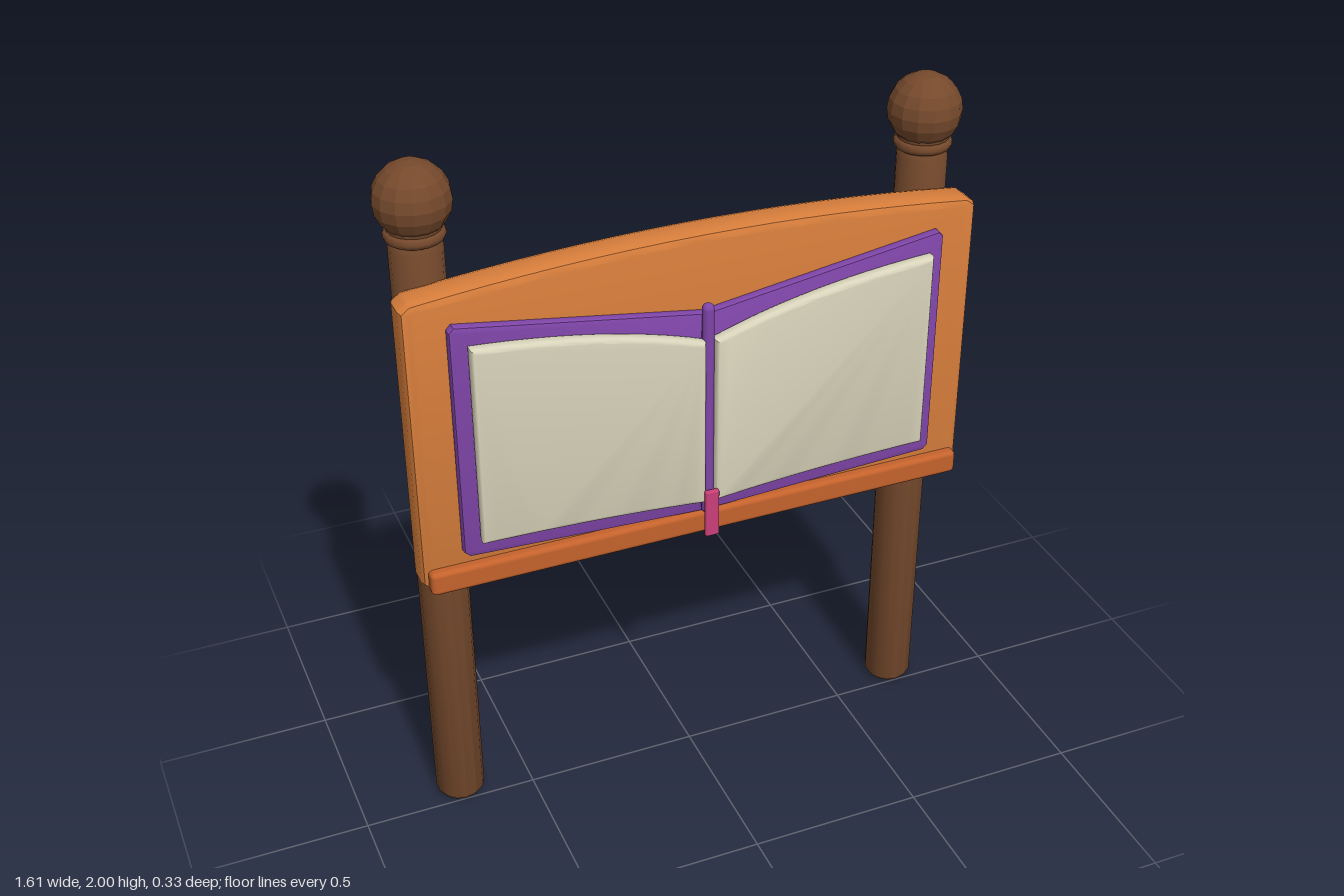
import * as THREE from 'three';
import { toCreasedNormals } from 'three/addons/utils/BufferGeometryUtils.js';
import { RoundedBoxGeometry } from 'three/addons/geometries/RoundedBoxGeometry.js';

function material(name, color) {
  const m = new THREE.MeshStandardMaterial({ color });
  m.name = name;
  return m;
}

// Extrude a shape between two z planes, with its bevel kept inside the outline
function slab(shape, z0, z1, bevel, segments, depthBevel = bevel) {
  const g = new THREE.ExtrudeGeometry(shape, {
    depth: z1 - z0 - 2 * depthBevel, curveSegments: 16,
    bevelEnabled: true, bevelSize: bevel, bevelOffset: -bevel,
    bevelThickness: depthBevel, bevelSegments: segments,
  });
  g.translate(0, 0, z0 + depthBevel);
  return toCreasedNormals(g, 0.6);
}

export function createModel() {
  const group = new THREE.Group();
  const darkWood = material('dark wood', 0x75492c);
  const boardWood = material('orange wood', 0xd67d3b);
  const ledgeWood = material('red orange wood', 0xc4622c);
  const purple = material('purple cover', 0x7f45a8);
  const cream = material('cream paper', 0xd9d4bb);
  const pink = material('pink ribbon', 0xc93f78);

  function add(name, geometry, mat, x = 0, y = 0, z = 0, parent = group) {
    const mesh = new THREE.Mesh(geometry, mat);
    mesh.name = name;
    mesh.position.set(x, y, z);
    parent.add(mesh);
    return mesh;
  }

  // Posts with a chamfered shaft, two collar rings and a faceted ball
  const shaft = toCreasedNormals(new THREE.LatheGeometry([
    [0, 0], [0.06, 0], [0.07, 0.015], [0.07, 1.775], [0.064, 1.79], [0, 1.79],
  ].map(([r, y]) => new THREE.Vector2(r, y)), 14), 0.6);
  const ball = new THREE.SphereGeometry(0.101, 14, 10);
  const ballWood = darkWood;
  for (const [side, name] of [[1, 'leftPost'], [-1, 'rightPost']]) {
    const post = new THREE.Group();
    post.name = name;
    post.position.set(side * 0.703, 0, -0.063);
    group.add(post);
    add('shaft', shaft, darkWood, 0, 0, 0, post);
    add('neck', new THREE.CylinderGeometry(0.065, 0.065, 0.07, 14), darkWood, 0, 1.805, 0, post);
    const lower = add('lowerCollar', new THREE.TorusGeometry(0.063, 0.017, 8, 18), darkWood, 0, 1.808, 0, post);
    lower.rotation.x = Math.PI / 2;
    const upper = add('upperCollar', new THREE.TorusGeometry(0.058, 0.014, 8, 18), darkWood, 0, 1.828, 0, post);
    upper.rotation.x = Math.PI / 2;
    add('ball', toCreasedNormals(ball, 0.2), ballWood, 0, 1.9, 0, post);
  }

  // Board with an arched top
  const board = new THREE.Shape();
  board.moveTo(-0.775, 0.833);
  board.lineTo(0.775, 0.833);
  board.lineTo(0.796, 0.855);
  board.lineTo(0.796, 1.67);
  board.lineTo(0.77, 1.69);
  board.quadraticCurveTo(0, 1.782, -0.77, 1.69);
  board.lineTo(-0.796, 1.67);
  board.lineTo(-0.796, 0.855);
  add('board', slab(board, -0.012, 0.09, 0.022, 2, 0.025), boardWood);

  // Ledge along the bottom of the board
  add('ledge', new RoundedBoxGeometry(1.56, 0.07, 0.05, 2, 0.014), ledgeWood, 0, 0.87, 0.093);

  // Open book cover
  const cover = new THREE.Shape();
  [[0, 0.908], [0.67, 0.937], [0.685, 0.952], [0.685, 1.61], [0.672, 1.624], [0, 1.522],
    [-0.672, 1.624], [-0.685, 1.61], [-0.685, 0.952], [-0.67, 0.937]]
    .forEach(([x, y], i) => (i ? cover.lineTo(x, y) : cover.moveTo(x, y)));
  add('bookCover', slab(cover, 0.085, 0.117, 0.008, 2), purple);

  // Two page blocks, mirrored about the spine
  for (const [s, name] of [[1, 'leftPages'], [-1, 'rightPages']]) {
    const page = new THREE.Shape();
    page.moveTo(s * 0.014, 0.958);
    page.quadraticCurveTo(s * 0.3, 0.988, s * 0.642, 0.992);
    page.lineTo(s * 0.642, 1.572);
    page.quadraticCurveTo(s * 0.28, 1.55, s * 0.014, 1.455);
    page.closePath();
    add(name, slab(page, 0.115, 0.155, 0.012, 3), cream);
  }

  // Spine between the pages
  add('spine', new THREE.CapsuleGeometry(0.017, 0.615, 4, 10), purple, 0, 1.233, 0.126);

  // Ribbon hanging from the spine
  add('bookmark', new RoundedBoxGeometry(0.04, 0.145, 0.016, 2, 0.005), pink, 0, 0.927, 0.158);

  return group;
}
